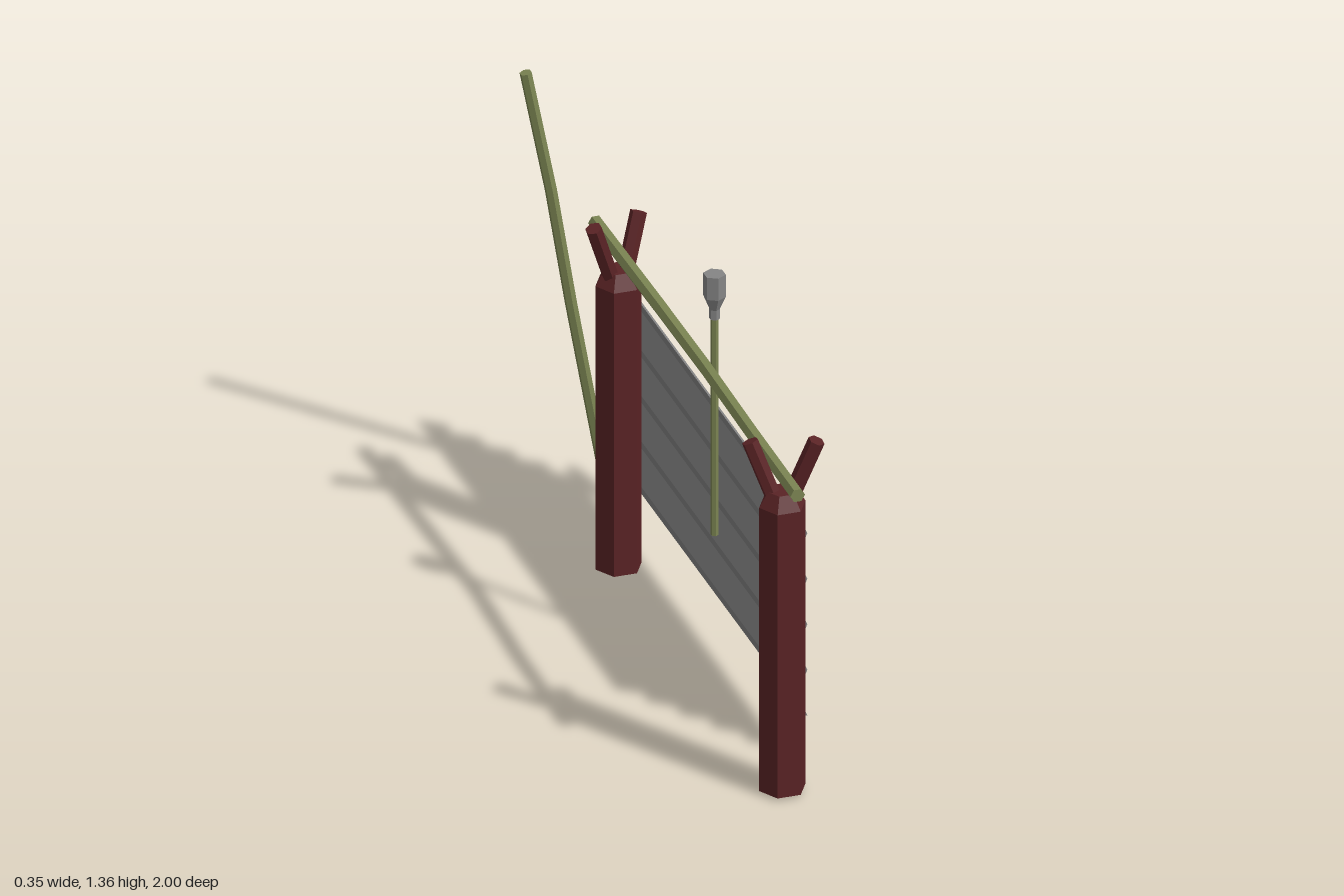
import * as THREE from 'three';

const wood = new THREE.MeshStandardMaterial({ color: 0x7b8452 });
wood.name = 'mossy wood';
const bark = new THREE.MeshStandardMaterial({ color: 0x5a2325 });
bark.name = 'red bark';
const metal = new THREE.MeshStandardMaterial({ color: 0x858585 });
metal.name = 'grey metal';

// Flat-shaded mesh with a name
function part(name, geometry, material) {
  const g = geometry.index ? geometry.toNonIndexed() : geometry;
  g.computeVertexNormals();
  const mesh = new THREE.Mesh(g, material);
  mesh.name = name;
  return mesh;
}

// Six-sided stick that follows a list of points; radii may vary per point
function stick(name, points, radii, material, spin = 0) {
  const pts = points.map((p) => new THREE.Vector3(...p));
  const n = pts.length - 1;
  const up = new THREE.Vector3(0, 1, 0);
  const turns = pts.map((p, i) => {
    const dir = pts[Math.min(i + 1, n)].clone().sub(pts[Math.max(i - 1, 0)]).normalize();
    return new THREE.Quaternion().setFromUnitVectors(up, dir);
  });
  const g = new THREE.CylinderGeometry(1, 1, 1, 6, n).rotateY(spin);
  const pos = g.attributes.position;
  const v = new THREE.Vector3();
  for (let i = 0; i < pos.count; i++) {
    v.fromBufferAttribute(pos, i);
    const k = Math.round((v.y + 0.5) * n);
    const r = Array.isArray(radii) ? radii[k] : radii;
    v.set(v.x * r, 0, v.z * r).applyQuaternion(turns[k]).add(pts[k]);
    pos.setXYZ(i, v.x, v.y, v.z);
  }
  return part(name, g, material);
}

// Forked post: trunk with a tapered shoulder and two prongs
function forkedPost(name, z, side) {
  const post = new THREE.Group();
  post.name = name;
  post.add(
    stick('trunk', [[0, 0.01, 0], [0, 0.9, 0], [0, 0.945, 0]], [0.068, 0.068, 0.042], bark, Math.PI / 6),
    stick('tallProng', [[side * 0.012, 0.89, 0], [side * 0.087, 1.105, 0.04]], 0.024, bark),
    stick('shortProng', [[side * -0.012, 0.89, 0], [side * -0.077, 1.085, -0.052]], 0.024, bark)
  );
  post.position.set(-0.04, 0, z);
  return post;
}

export function createModel() {
  const model = new THREE.Group();
  model.name = 'spitRackWithWindbreak';

  // Posts and the sagging crossbeam resting in their forks
  model.add(forkedPost('frontPost', 0.855, 1), forkedPost('backPost', -0.533, -1));
  model.add(stick('crossbeam', [
    [-0.045, 1, -0.715], [-0.036, 0.994, -0.2], [-0.03, 0.987, 0.17], [-0.042, 0.998, 0.6], [-0.045, 1, 1]
  ], 0.0215, wood, Math.PI / 6));

  // Corrugated sheet: thin zigzag profile extruded along z
  const folds = Array.from({ length: 10 }, (_, i) => [i % 2 ? 0.088 : 0.057, 0.775 - i * 0.0716]);
  const t = 0.003;
  const outline = [
    ...folds.map(([x, y]) => new THREE.Vector2(x - t, y)),
    ...folds.map(([x, y]) => new THREE.Vector2(x + t, y)).reverse()
  ];
  const sheet = new THREE.ExtrudeGeometry(new THREE.Shape(outline), { depth: 1.68, bevelEnabled: false });
  model.add(part('corrugatedSheet', sheet.translate(0, 0, -0.99), metal));

  // Leaning poles that hold the end of the sheet
  model.add(
    stick('tallPole', [
      [0.078, 0.003, -0.962], [-0.03, 0.62, -0.966], [-0.087, 0.98, -0.97], [-0.157, 1.355, -0.983]
    ], 0.0175, wood),
    stick('shortPole', [[0.08, 0.005, -0.91], [0.163, 0.308, -0.912]], 0.0175, wood)
  );

  // Upright rod with a metal head
  model.add(
    stick('rod', [[0.007, 0.44, 0.145], [0.007, 1.14, 0.145]], 0.011, wood),
    stick('rodHead', [1.12, 1.15, 1.19, 1.26].map((y) => [0.007, y, 0.145]),
      [0.015, 0.015, 0.032, 0.032], metal)
  );
  return model;
}
